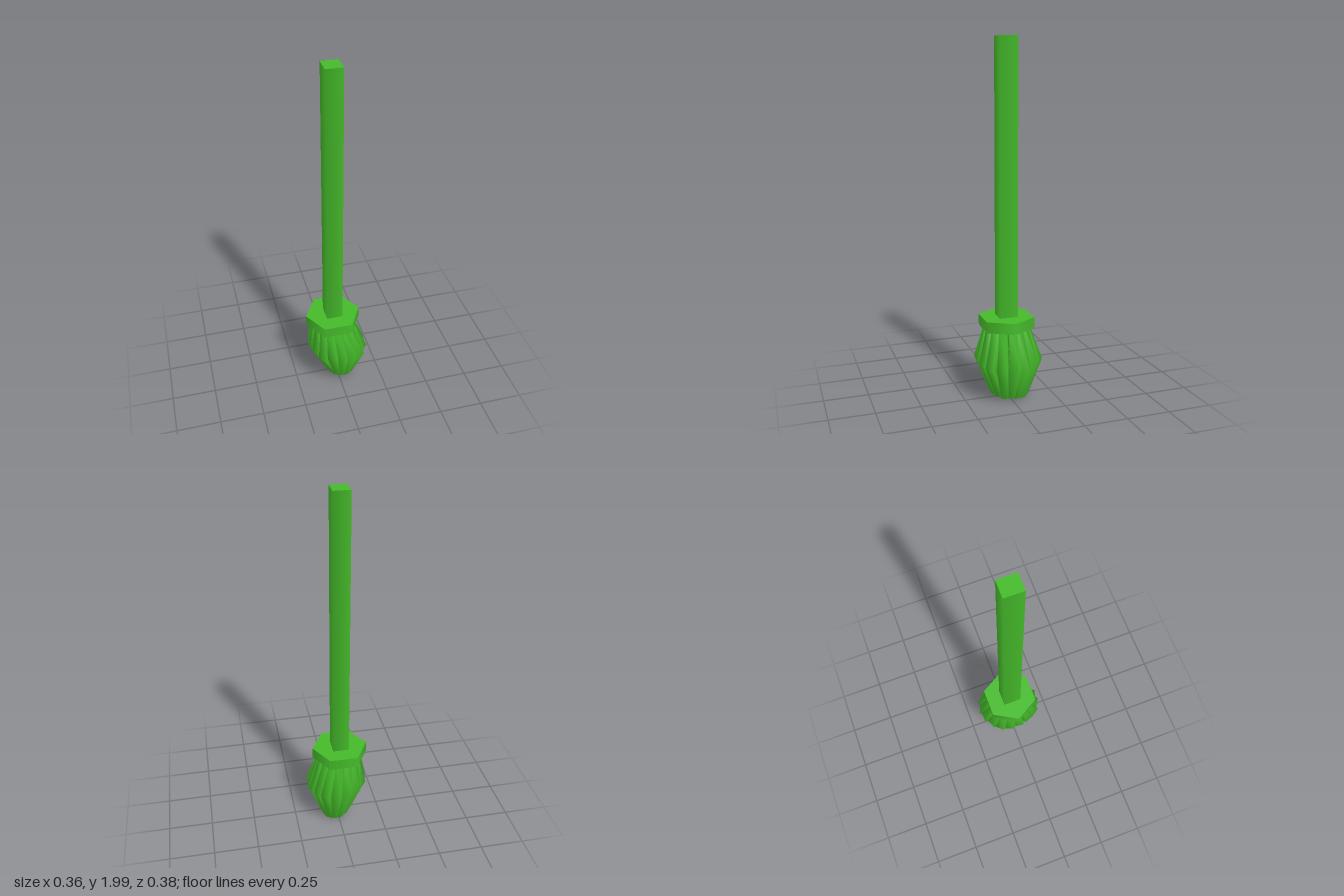
import * as THREE from 'three';

const GREEN = 0x45bb2a;
const AXIS = -0.021; // the handle sits slightly off the middle of the bristles

export function createModel() {
  const group = new THREE.Group();
  const material = new THREE.MeshStandardMaterial({ color: GREEN });
  const strandMaterial = new THREE.MeshStandardMaterial({ color: GREEN, side: THREE.DoubleSide });

  const add = (name, geometry, mat = material) => {
    const mesh = new THREE.Mesh(geometry, mat);
    mesh.name = name;
    group.add(mesh);
    return mesh;
  };

  // Square handle with softly shaded sides
  const handle = new THREE.CylinderGeometry(Math.SQRT1_2, Math.SQRT1_2, 1, 4);
  handle.rotateY(Math.PI / 4).scale(0.092, 1.54, 0.103);
  add('handle', handle).position.set(AXIS, 1.23, 0);

  // Hexagonal collar, corners on the x axis
  const collar = new THREE.CylinderGeometry(0.159, 0.159, 0.062, 6);
  collar.rotateY(Math.PI / 2);
  add('collar', collar).position.set(AXIS, 0.446, 0);

  // Small seeded generator for uneven strands
  let seed = 7;
  const jitter = (amount) => {
    seed = (seed * 16807) % 2147483647;
    return (seed / 2147483647 - 0.5) * 2 * amount;
  };

  // One strand: four-cornered sections lofted from the collar down to the tip
  // section: centre x, radii in x and z, y, depth, width, twist
  function strandGeometry(angle, sections) {
    const points = [], index = [];
    for (const { cx, rx, rz, y, d, w, twist } of sections) {
      const x = cx + rx * Math.cos(angle), z = rz * Math.sin(angle);
      const c = Math.cos(angle - twist), s = Math.sin(angle - twist);
      for (const [r, t] of [[-1, -1], [1, -1], [1, 1], [-1, 1]]) {
        const a = (r * d) / 2, b = (t * w) / 2;
        points.push(x + a * c - b * s, y, z + a * s + b * c);
      }
    }
    for (let i = 0; i < sections.length - 1; i++) {
      for (let j = 0; j < 4; j++) {
        const a = i * 4 + j, b = i * 4 + ((j + 1) % 4);
        index.push(a, b, a + 4, b, b + 4, a + 4);
      }
    }
    const e = (sections.length - 1) * 4;
    index.push(e, e + 1, e + 2, e, e + 2, e + 3);
    const geometry = new THREE.BufferGeometry();
    geometry.setAttribute('position', new THREE.Float32BufferAttribute(points, 3));
    geometry.setIndex(index);
    geometry.computeVertexNormals();
    return geometry;
  }

  // Outer bulging ring and a straighter inner ring of strands
  const rings = [
    { name: 'outerBristle', count: 17, size: 1 },
    { name: 'innerBristle', count: 8, size: 0.55 },
  ];
  for (const { name, count, size } of rings) {
    for (let i = 0; i < count; i++) {
      const angle = ((i + 0.2) / count) * Math.PI * 2 + jitter(0.05);
      // Tips hang lower toward the right rear
      const tipY = 0.038 - 0.022 * Math.cos(angle + 0.8) + jitter(0.006);
      const bulge = size + jitter(0.035);
      const twist = -0.2 + jitter(0.1);
      add(name, strandGeometry(angle, [
        { cx: AXIS, rx: 0.105 * size, rz: 0.11 * size, y: 0.425, d: 0.035, w: 0.04, twist: 0 },
        { cx: 0, rx: 0.148 * bulge, rz: 0.162 * bulge, y: 0.24 - 0.02 * Math.cos(angle) + jitter(0.015), d: 0.045, w: 0.06, twist },
        { cx: 0.012, rx: 0.066 * size, rz: 0.095 * size, y: tipY, d: 0.03, w: 0.034, twist },
      ]), strandMaterial);
    }
  }
  return group;
}
